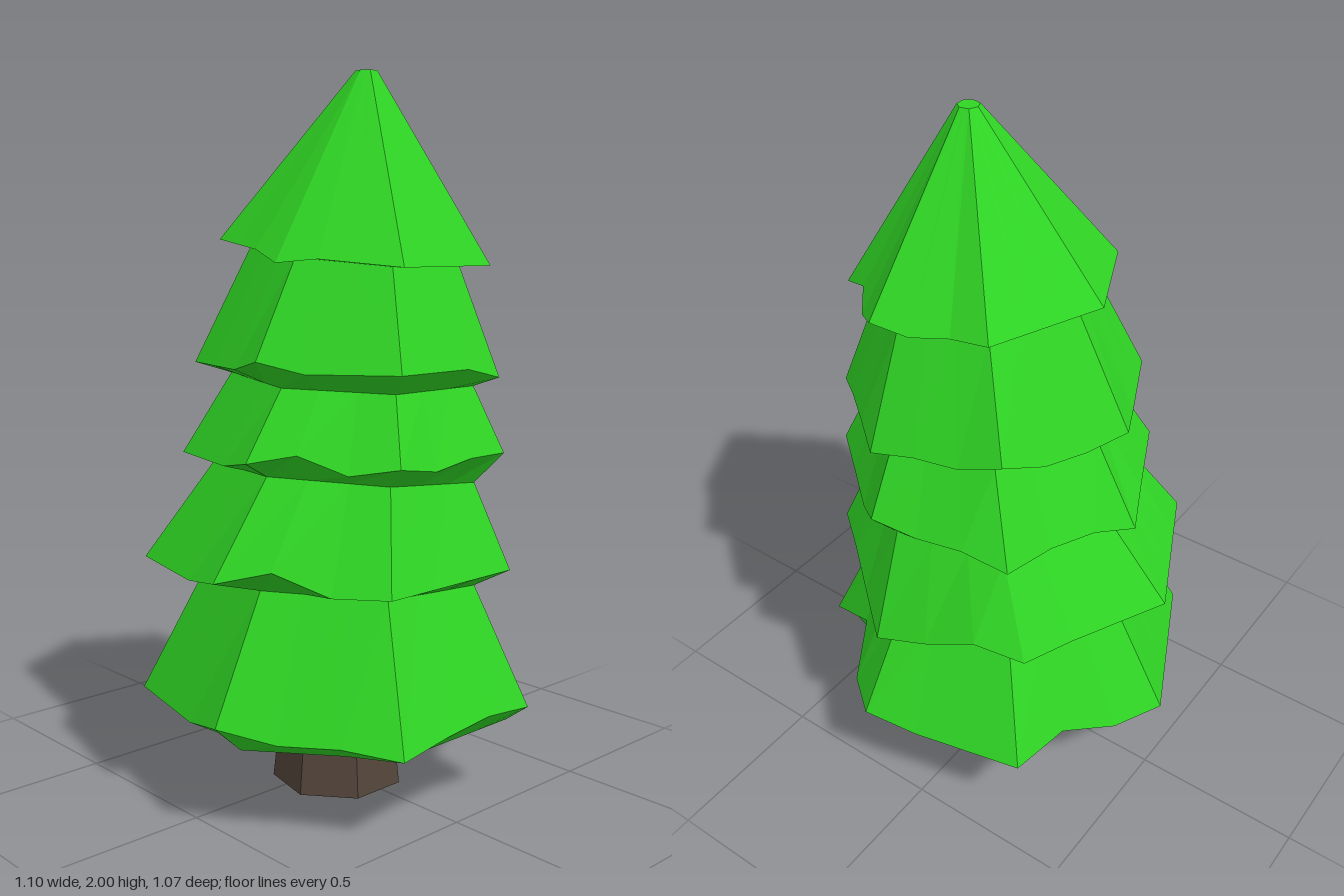
import * as THREE from 'three';

const SIDES = 7;
const STEPS = 3; // points along each side of a ring

// Seven-sided ring starting at the back and passing the +x side.
// dents: { pointIndex: [radial scale, lift] }
function ring({ x = 0, y, z, r, tiltX = 0, tiltZ = 0, dents = {} }) {
  const corner = i => {
    const t = i * Math.PI * 2 / SIDES;
    return new THREE.Vector3(r * Math.sin(t), 0, -r * Math.cos(t));
  };
  return Array.from({ length: SIDES * STEPS }, (_, i) => {
    const side = Math.floor(i / STEPS);
    const p = corner(side).lerp(corner(side + 1), (i % STEPS) / STEPS);
    const [scale, lift] = dents[i] ?? [1, 0];
    p.multiplyScalar(scale);
    return p.add(new THREE.Vector3(x, y + lift + tiltX * p.x + tiltZ * p.z, z));
  });
}

// Skins consecutive rings
function loft(rings) {
  const n = SIDES * STEPS;
  const index = [];
  for (let k = 0; k < rings.length - 1; k++) {
    for (let i = 0; i < n; i++) {
      const a = k * n + i, b = k * n + (i + 1) % n;
      index.push(a, a + n, b, b, a + n, b + n);
    }
  }
  const indexed = new THREE.BufferGeometry().setFromPoints(rings.flat());
  indexed.setIndex(index);
  const flat = indexed.toNonIndexed();
  flat.computeVertexNormals();
  return flat;
}

export function createModel() {
  const leafGreen = new THREE.MeshStandardMaterial({ color: 0x2fd424 });
  leafGreen.name = 'leafGreen';
  const barkBrown = new THREE.MeshStandardMaterial({ color: 0x54453b });
  barkBrown.name = 'barkBrown';

  const tree = new THREE.Group();
  tree.name = 'tree';

  // Trunk
  const bark = new THREE.CylinderGeometry(0.13, 0.19, 0.55, SIDES).rotateY(Math.PI).toNonIndexed();
  bark.computeVertexNormals();
  const trunk = new THREE.Mesh(bark, barkBrown);
  trunk.name = 'trunk';
  trunk.position.set(-0.01, 0.275, 0.04);
  tree.add(trunk);

  // Each tier: a wide ragged rim, then a narrow waist just inside the next rim
  const tiers = [
    {
      rim: { y: 0.275, z: 0.03, r: 0.565, dents: {
        2: [0.93, 0.03], 6: [1, 0.025], 8: [0.87, 0.085], 10: [1, 0.015], 12: [1, -0.025], 15: [1, 0.035],
      } },
      waist: { y: 0.62, z: 0.05, r: 0.39, tiltX: -0.06 },
    },
    {
      rim: { x: -0.025, y: 0.665, z: 0.023, r: 0.528, dents: {
        3: [0.97, -0.03], 5: [1, -0.06], 6: [1, -0.095], 7: [1, -0.05], 14: [1, 0.06], 15: [1, 0.025],
      } },
      waist: { y: 0.915, z: 0.064, r: 0.374, tiltX: -0.09 },
    },
    {
      rim: { x: 0.01, y: 0.965, z: 0.05, r: 0.46, dents: {
        0: [1, -0.04], 3: [1, -0.035], 6: [1, 0.025], 7: [1, -0.035], 9: [1, 0.02],
        10: [1, 0.02], 12: [1, 0.02], 14: [1, 0.05], 15: [1, 0.025],
      } },
      waist: { x: 0.02, y: 1.18, z: 0.075, r: 0.345, tiltZ: -0.05 },
    },
    {
      rim: { x: 0.015, y: 1.22, z: 0.06, r: 0.432, dents: {
        0: [1, 0.02], 3: [1, 0.04], 6: [1, -0.02], 9: [1, -0.03], 15: [1, 0.03],
      } },
      waist: { x: 0.015, y: 1.52, z: 0.09, r: 0.292, tiltZ: -0.12 },
    },
    {
      rim: { y: 1.53, z: 0.106, r: 0.376, tiltZ: -0.12, dents: {
        4: [0.95, 0], 6: [1, 0.03], 8: [0.93, 0.03], 15: [1, -0.02],
      } },
      waist: { x: -0.015, y: 2, z: 0.155, r: 0.03 },
    },
  ];

  // Hollow underside, from the ceiling out to the hem of the lowest tier
  const underside = [
    ring({ y: 0.36, z: 0.04, r: 0.08 }),
    ring({ y: 0.34, z: 0.04, r: 0.38 }),
    ring({ y: 0.235, z: 0.055, r: 0.485, dents: { 2: [0.92, 0.02], 8: [0.88, 0] } }),
  ];

  // Foliage, one mesh per tier
  tiers.forEach(({ rim, waist }, i) => {
    const below = i === 0 ? underside : [ring(tiers[i - 1].waist)];
    const rings = [...below, ring(rim), ring(waist)];
    // Blunt tip
    if (i === tiers.length - 1) rings.push(ring({ ...waist, r: 0 }));
    const tier = new THREE.Mesh(loft(rings), leafGreen);
    tier.name = `foliageTier${i + 1}`;
    tree.add(tier);
  });

  return tree;
}
